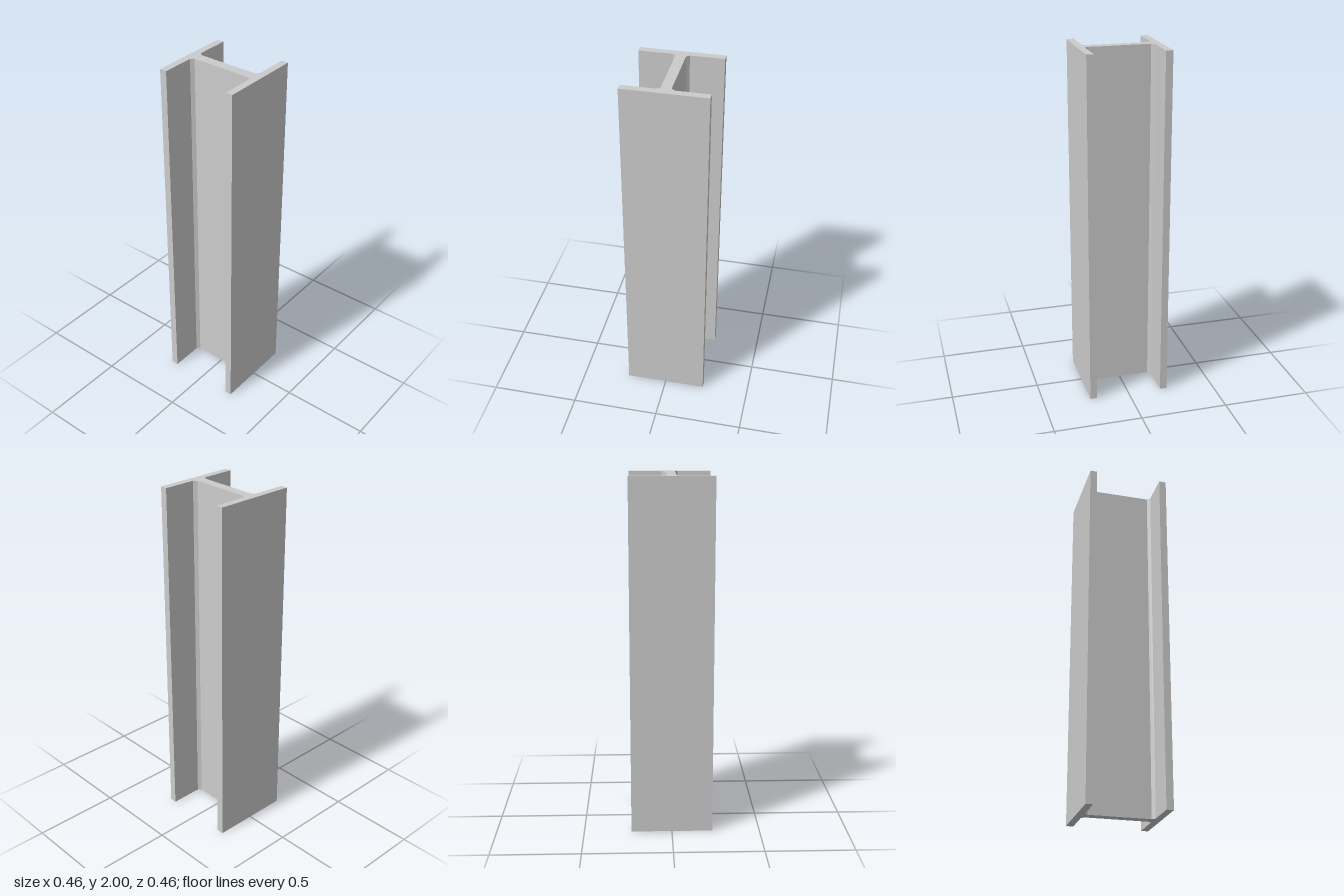
import * as THREE from 'three';

const HEIGHT = 2;
const HALF = 0.231;       // half width and half depth of the section
const FLANGE_IN = 0.191;  // inner face of the flanges
const WEB = 0.028;        // half thickness of the web
const FILLET = 0.017;     // bevel where web meets flange

export function createModel() {
  const group = new THREE.Group();
  group.name = 'steelColumn';

  // One quarter of the H section, from the flange edge to the web
  const quarter = [
    [HALF, HALF],
    [HALF, FLANGE_IN],
    [WEB + FILLET, FLANGE_IN],
    [WEB, FLANGE_IN - FILLET],
  ];
  const reversed = [...quarter].reverse();
  const mirror = (pts, sx, sy) => pts.map(([x, y]) => new THREE.Vector2(x * sx, y * sy));

  // Mirror the quarter into a closed outline
  const section = new THREE.Shape([
    ...mirror(quarter, 1, 1),
    ...mirror(reversed, 1, -1),
    ...mirror(quarter, -1, -1),
    ...mirror(reversed, -1, 1),
  ]);

  // Extrude the section and stand it upright
  const geometry = new THREE.ExtrudeGeometry(section, { depth: HEIGHT, bevelEnabled: false });
  geometry.rotateX(-Math.PI / 2);

  const material = new THREE.MeshStandardMaterial({ color: 0xcccccc, flatShading: true });
  const beam = new THREE.Mesh(geometry, material);
  beam.name = 'hBeam';
  group.add(beam);
  return group;
}
